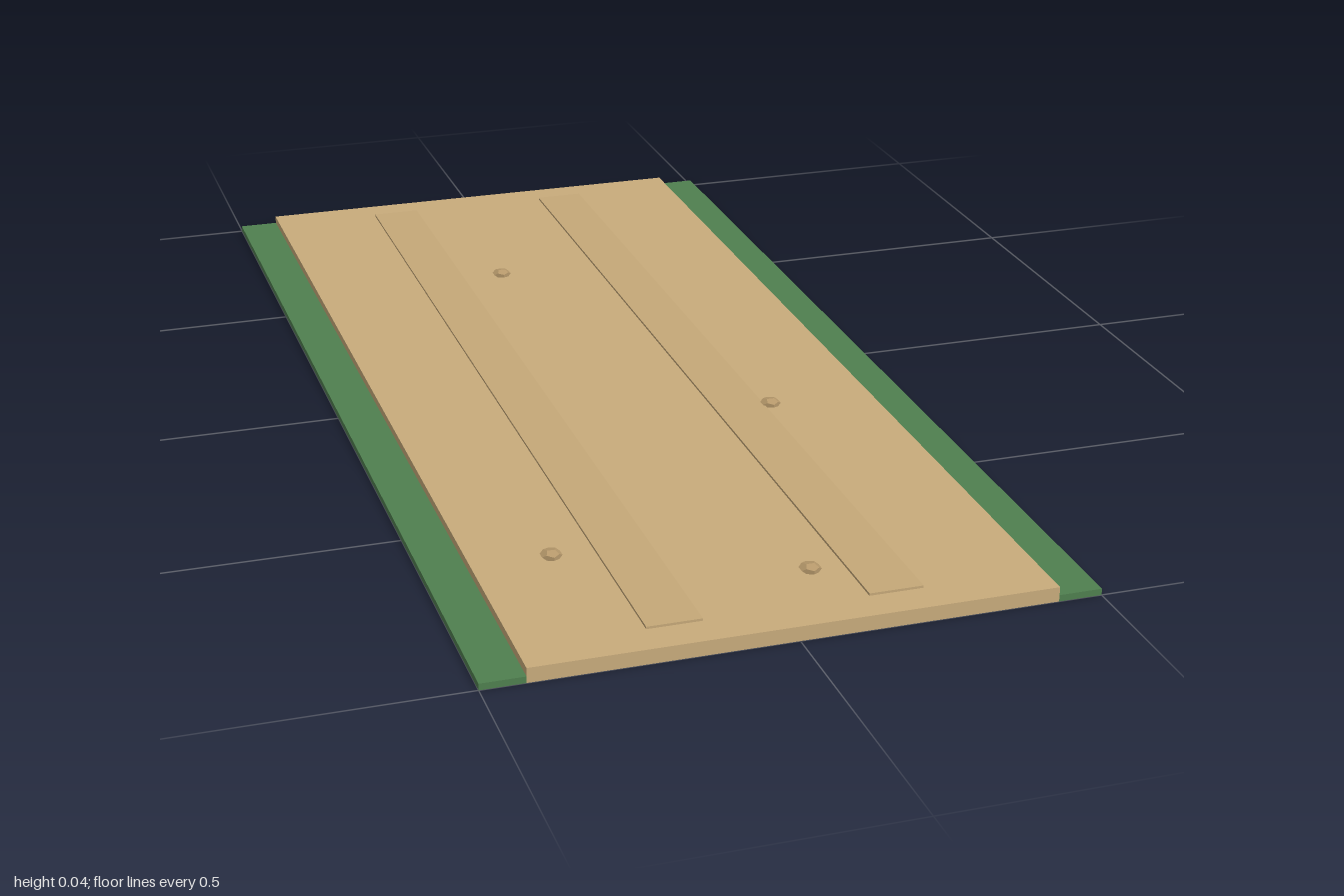
import * as THREE from 'three';

const mat = (color) => new THREE.MeshStandardMaterial({ color, flatShading: true });
const dirt = mat(0xc8ab7b);
const rutDirt = mat(0xc5a878);
const grass = mat(0x4f7f4f);
const pebble = mat(0xb89a6c);

// Box given by its centre x, its bottom and its size
function slab(name, material, x, bottom, width, height, length) {
  const mesh = new THREE.Mesh(new THREE.BoxGeometry(width, height, length), material);
  mesh.name = name;
  mesh.position.set(x, bottom + height / 2, 0);
  return mesh;
}

export function createModel() {
  const group = new THREE.Group();
  group.name = 'dirtPath';

  // Raised path bed
  group.add(slab('pathBed', dirt, 0, 0, 0.855, 0.025, 2));

  // Grass verges and wheel tracks, mirrored about the centre
  for (const [side, s] of [['left', 1], ['right', -1]]) {
    group.add(slab(`${side}Verge`, grass, s * 0.4638, 0, 0.0725, 0.011, 2));
    group.add(slab(`${side}WheelTrack`, rutDirt, s * 0.18, 0.025, 0.09, 0.004, 1.88));
  }

  // Flattened pebbles lying on the path
  const stone = new THREE.DodecahedronGeometry(0.018);
  const spots = [[-0.057, -0.53], [0.238, 0.222], [-0.297, 0.673], [0.078, 0.835]];
  spots.forEach(([x, z], i) => {
    const mesh = new THREE.Mesh(stone, pebble);
    mesh.name = `pebble${i + 1}`;
    mesh.scale.set(1, 0.42, 1.1);
    mesh.position.set(x, 0.03, z);
    group.add(mesh);
  });

  return group;
}
